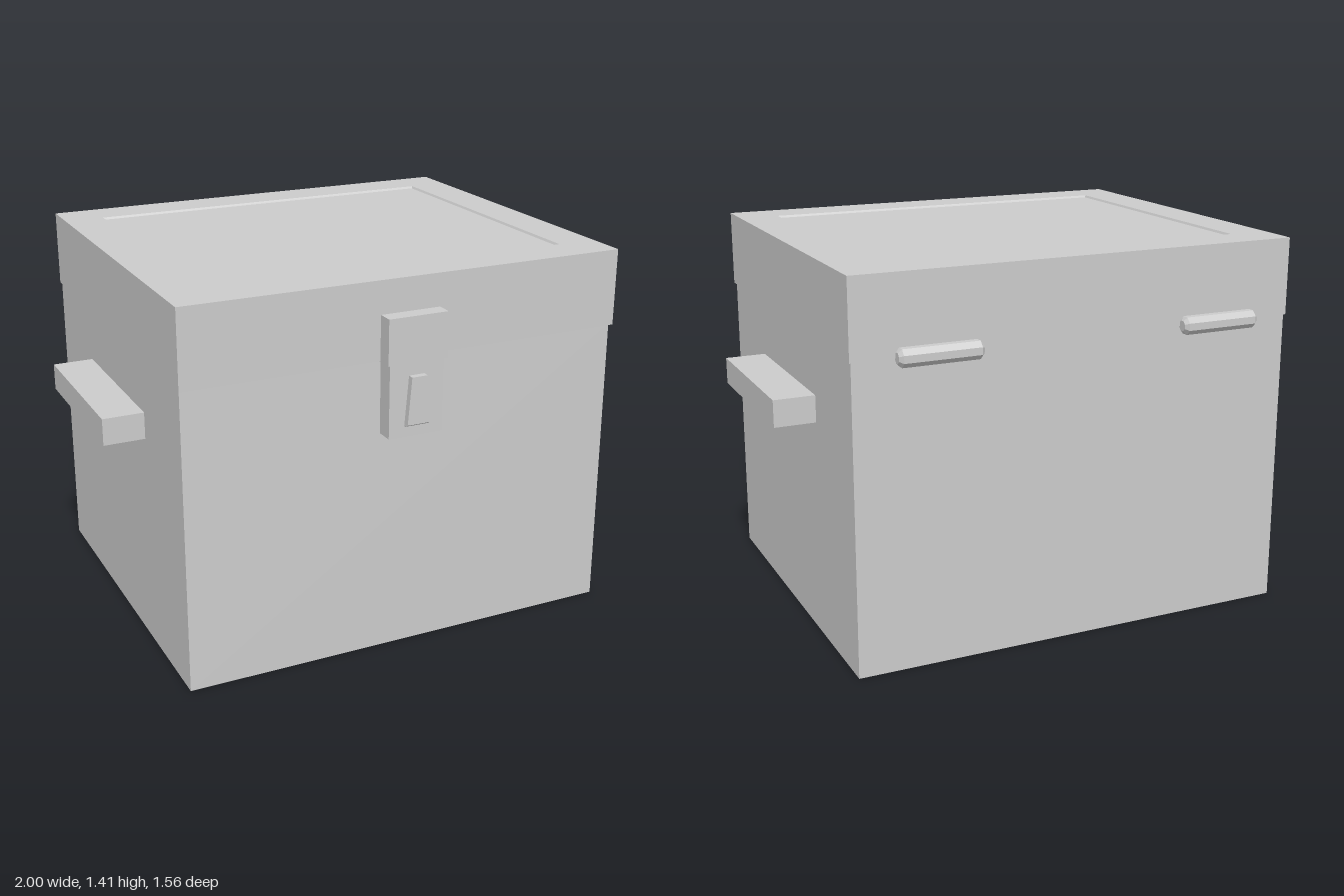
import * as THREE from 'three';

const material = new THREE.MeshStandardMaterial({ color: 0xcccccc });

// Stack of rectangles [halfWidth, zBack, zFront, y] joined upwards and capped, with crisp edges.
function loft(rings, cx = 0) {
  const pos = [], idx = [];
  for (const [h, z0, z1, y] of rings) {
    pos.push(cx - h, y, z1, cx + h, y, z1, cx + h, y, z0, cx - h, y, z0);
  }
  for (let r = 0; r < rings.length - 1; r++) {
    for (let i = 0; i < 4; i++) {
      const a = r * 4 + i, b = r * 4 + (i + 1) % 4;
      idx.push(a, b, b + 4, a, b + 4, a + 4);
    }
  }
  const t = (rings.length - 1) * 4;
  idx.push(0, 2, 1, 0, 3, 2, t, t + 1, t + 2, t, t + 2, t + 3);
  const g = new THREE.BufferGeometry();
  g.setAttribute('position', new THREE.Float32BufferAttribute(pos, 3));
  g.setIndex(idx);
  const flat = g.toNonIndexed();
  flat.computeVertexNormals();
  return flat;
}

export function createModel() {
  const model = new THREE.Group();
  model.name = 'storageBox';
  const add = (name, geometry, parent = model) => {
    const mesh = new THREE.Mesh(geometry, material);
    mesh.name = name;
    parent.add(mesh);
    return mesh;
  };

  // Body, its front leaning back very slightly
  add('body', loft([[0.848, -0.727, 0.695, 0], [0.846, -0.727, 0.686, 1.125]]));

  // Lid with a shallow sunken panel on top
  add('lid', loft([
    [0.852, -0.732, 0.703, 1.125],
    [0.852, -0.732, 0.703, 1.412],
    [0.70, -0.58, 0.55, 1.412],
    [0.695, -0.575, 0.545, 1.404],
  ]));

  // Side handles
  for (const [side, s] of [['left', 1], ['right', -1]]) {
    const handle = add(side + 'Handle', new THREE.BoxGeometry(0.16, 0.1, 0.64));
    handle.position.set(s * 0.92, 0.865, -0.016);
  }

  // Front latch: upper clasp, lower plate and tapered tab
  const latch = new THREE.Group();
  latch.name = 'latch';
  model.add(latch);
  add('latchClasp', loft([[0.115, 0.68, 0.763, 1.122], [0.115, 0.68, 0.763, 1.29]], -0.004), latch);
  add('latchPlate', loft([[0.105, 0.67, 0.755, 0.85], [0.105, 0.67, 0.755, 1.122]], -0.004), latch);
  add('latchTab', loft([
    [0.045, 0.74, 0.762, 0.89],
    [0.044, 0.74, 0.779, 0.9],
    [0.03, 0.74, 0.779, 1.075],
  ], -0.004), latch);

  // Rear hinges: eight-sided barrels with bevelled ends
  const profile = [[0, -0.153], [0.02, -0.153], [0.0345, -0.14], [0.0345, 0.14], [0.02, 0.153], [0, 0.153]]
    .map(([r, y]) => new THREE.Vector2(r, y));
  const barrel = new THREE.LatheGeometry(profile, 8, Math.PI / 8).toNonIndexed();
  barrel.rotateZ(Math.PI / 2);
  barrel.computeVertexNormals();
  for (const [side, x] of [['left', 0.54], ['right', -0.547]]) {
    add(side + 'Hinge', barrel).position.set(x, 1.129, -0.746);
  }

  return model;
}
